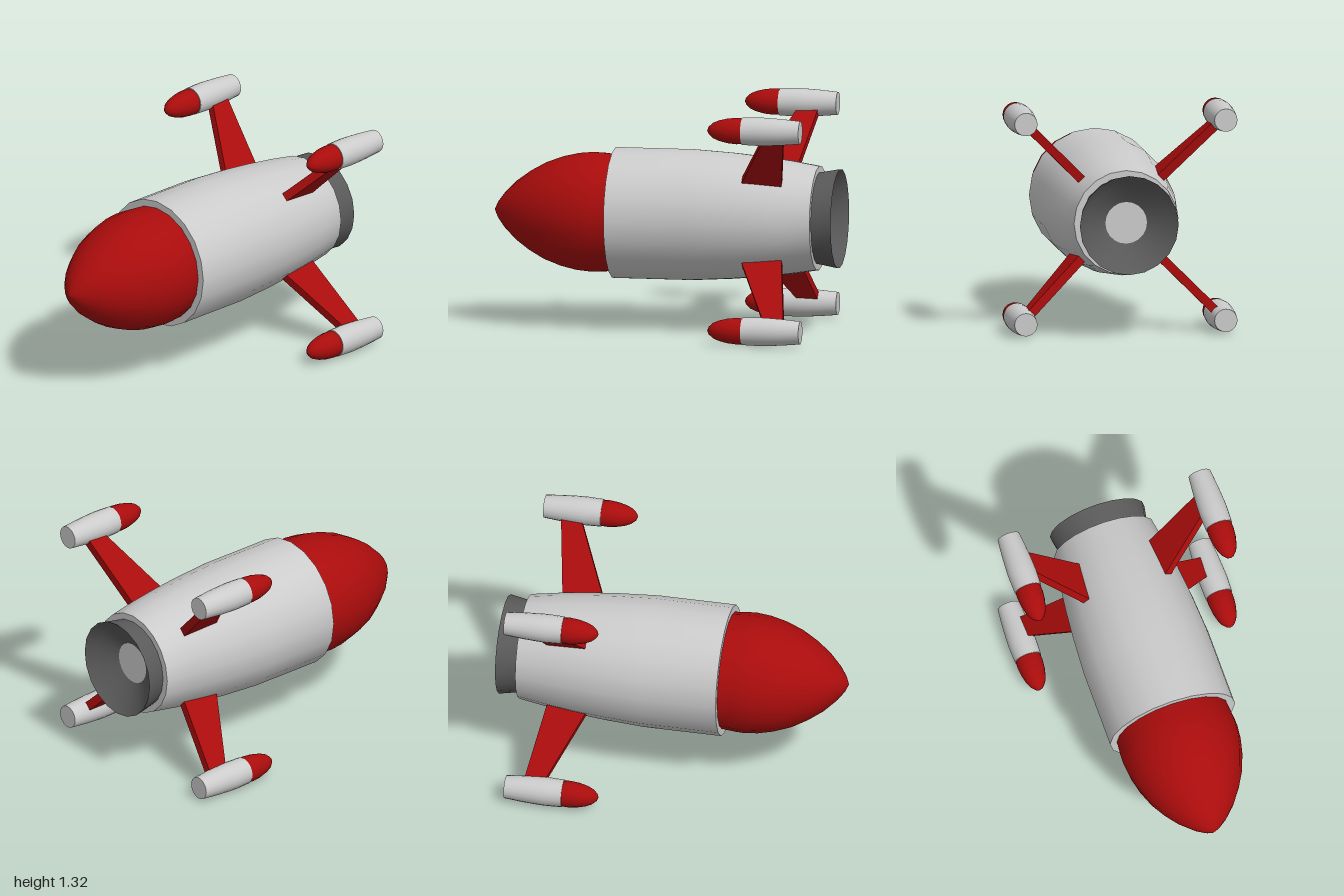
import * as THREE from 'three';
import { toCreasedNormals } from 'three/addons/utils/BufferGeometryUtils.js';

const grey = new THREE.MeshStandardMaterial({ color: 0xcccccc });
const red = new THREE.MeshStandardMaterial({ color: 0xaa0c0c });
const dark = new THREE.MeshStandardMaterial({ color: 0x5a5a5a });

// Turned part along z; profile is [radius, z] from back to front on the outside
function turned(name, profile, material) {
  const points = profile.map(([r, z]) => new THREE.Vector2(r, z));
  const geometry = new THREE.LatheGeometry(points, 20);
  geometry.rotateX(Math.PI / 2);
  const mesh = new THREE.Mesh(toCreasedNormals(geometry, 0.5), material);
  mesh.name = name;
  return mesh;
}

// Swept fin in the radial plane: x runs outward, y runs along the hull
function makeFin() {
  const shape = new THREE.Shape([[0.28, -0.45], [0.75, -0.655], [0.75, -0.775], [0.28, -0.7]]
    .map(([r, z]) => new THREE.Vector2(r, -z)));
  const geometry = new THREE.ExtrudeGeometry(shape, { depth: 0.05, bevelEnabled: false });
  geometry.translate(0, 0, -0.025);
  geometry.rotateX(-Math.PI / 2);
  const fin = new THREE.Mesh(geometry, red);
  fin.name = 'fin';
  return fin;
}

// Small booster with a pointed cap
function makeBooster() {
  const booster = new THREE.Group();
  booster.name = 'booster';
  booster.add(turned('boosterBody', [
    [0, -0.88], [0.066, -0.88], [0.076, -0.77], [0.081, -0.68], [0.082, -0.64], [0.079, -0.545], [0, -0.545],
  ], grey));
  booster.add(turned('boosterNose', [
    [0.074, -0.55], [0.076, -0.51], [0.071, -0.46], [0.059, -0.41], [0.044, -0.375], [0.022, -0.35], [0, -0.34],
  ], red));
  return booster;
}

export function createModel() {
  const model = new THREE.Group();
  model.name = 'rocket';
  const hull = new THREE.Group();
  hull.name = 'hull';
  hull.position.y = 0.66;
  model.add(hull);

  hull.add(turned('body', [
    [0, -0.88], [0.3, -0.88], [0.326, -0.72], [0.347, -0.55], [0.363, -0.38],
    [0.377, -0.15], [0.377, 0.3], [0, 0.3],
  ], grey));

  hull.add(turned('noseCone', [
    [0.335, 0.29], [0.343, 0.38], [0.345, 0.43], [0.337, 0.51], [0.316, 0.6], [0.279, 0.7],
    [0.228, 0.79], [0.17, 0.87], [0.1, 0.94], [0.045, 0.98], [0, 1],
  ], red));

  // Hollow nozzle: funnel inside, flared wall outside
  hull.add(turned('nozzle', [
    [0.12, -0.885], [0.235, -0.95], [0.285, -1], [0.263, -0.88],
  ], dark));

  // Four fins with boosters, set diagonally around the hull
  for (let i = 0; i < 4; i++) {
    const angle = Math.PI / 4 + i * Math.PI / 2;
    const fin = makeFin();
    fin.rotation.z = angle;
    const booster = makeBooster();
    booster.position.set(Math.cos(angle) * 0.815, Math.sin(angle) * 0.815, 0);
    hull.add(fin, booster);
  }
  return model;
}
